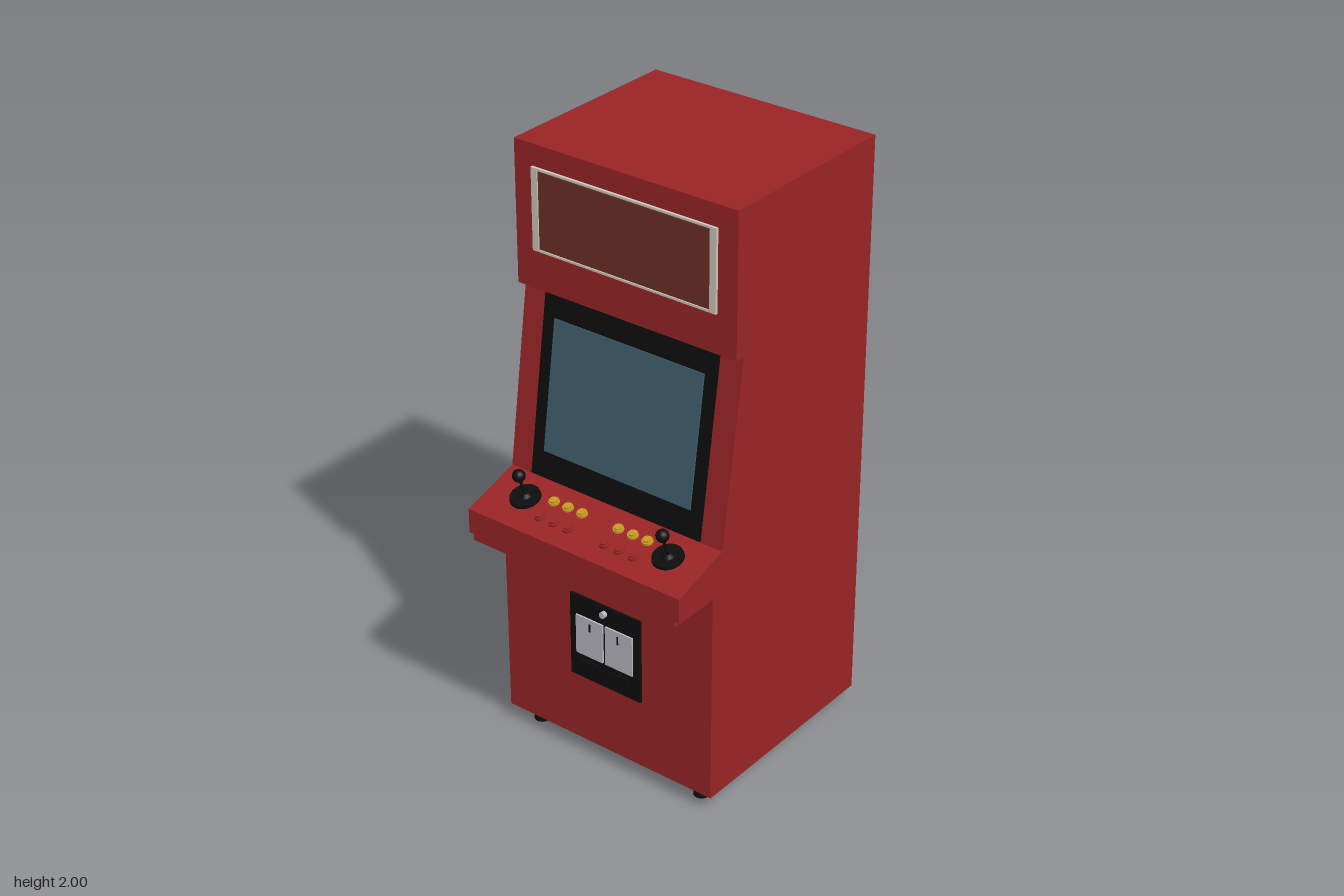
import * as THREE from 'three';

const material = (name, color) => {
  const m = new THREE.MeshStandardMaterial({ color });
  m.name = name;
  return m;
};

export function createModel() {
  const red = material('cabinet red', 0x992426);
  const black = material('black', 0x0d0d0d);
  const glass = material('screen blue', 0x405d6a);
  const brown = material('sign brown', 0x6b3026);
  const cream = material('frame cream', 0xd0c8bc);
  const metal = material('metal grey', 0xb8b8c0);
  const yellow = material('button yellow', 0xc99a22);

  const model = new THREE.Group();
  model.name = 'arcadeCabinet';

  const add = (parent, name, geometry, mat, x = 0, y = 0, z = 0) => {
    const mesh = new THREE.Mesh(geometry, mat);
    mesh.name = name;
    mesh.position.set(x, y, z);
    parent.add(mesh);
    return mesh;
  };
  const box = (parent, name, mat, w, h, d, x, y, z) =>
    add(parent, name, new THREE.BoxGeometry(w, h, d), mat, x, y, z);
  const cyl = (parent, name, mat, r0, r1, h, x, y, z, n = 20) =>
    add(parent, name, new THREE.CylinderGeometry(r0, r1, h, n), mat, x, y, z);
  const group = (name, x, y, z, tilt) => {
    const g = new THREE.Group();
    g.name = name;
    g.position.set(x, y, z);
    g.rotation.x = tilt;
    model.add(g);
    return g;
  };

  // Cabinet: side profile (z, y) extruded across the width
  const profile = [
    [-0.46, 0.055], [0.3, 0.055], [0.3, 0.785], [0.46, 0.785], [0.46, 0.868],
    [0.255, 0.93], [0.165, 1.535], [0.2, 1.535], [0.2, 2], [-0.46, 2],
  ];
  const shape = new THREE.Shape(profile.map(([z, y]) => new THREE.Vector2(z, y)));
  const body = new THREE.ExtrudeGeometry(shape, { depth: 0.81, bevelEnabled: false });
  body.translate(0, 0, -0.405).rotateY(-Math.PI / 2);
  add(model, 'cabinet', body, red);
  box(model, 'panelUnderside', red, 0.775, 0.022, 0.162, 0, 0.775, 0.379);

  // Lit sign with cream frame
  box(model, 'sign', brown, 0.64, 0.26, 0.006, 0, 1.797, 0.202);
  for (const s of [-1, 1]) {
    box(model, 'signFrameSide', cream, 0.023, 0.266, 0.01, s * 0.325, 1.797, 0.204);
    box(model, 'signFrameRail', cream, 0.672, 0.007, 0.01, 0, 1.797 + s * 0.1295, 0.204);
  }

  // Screen and bezel lying on the sloped front
  const slope = Math.atan2(0.09, 0.605);
  const display = group('display', 0, 1.2325, 0.21, -slope);
  box(display, 'bezel', black, 0.65, 0.608, 0.004, 0, 0, 0.001);
  box(display, 'screen', glass, 0.56, 0.43, 0.005, 0, 0, 0.005);

  // Control panel, local z running down the slope
  const tilt = Math.atan2(0.062, 0.205);
  const panel = group('controls', 0, 0.93, 0.255, tilt);
  const along = (z) => (z - 0.255) / Math.cos(tilt);

  for (const s of [-1, 1]) {
    const x = s * 0.275;
    const z = along(0.345);
    cyl(panel, 'joystickBase', black, 0.048, 0.05, 0.01, x, 0.005, z, 32);
    cyl(panel, 'joystickCollar', black, 0.012, 0.022, 0.012, x, 0.015, z);
    cyl(panel, 'joystickShaft', black, 0.005, 0.005, 0.09, x, 0.05, z, 12);
    add(panel, 'joystickBall', new THREE.SphereGeometry(0.021, 20, 14), black, x, 0.093, z);

    for (const bx of [0.07, 0.125, 0.18]) {
      for (const [bz, mat] of [[0.322, yellow], [0.388, red]]) {
        cyl(panel, 'buttonRim', mat, 0.017, 0.018, 0.008, s * bx, 0.004, along(bz));
        cyl(panel, 'buttonCap', mat, 0.012, 0.013, 0.008, s * bx, 0.01, along(bz));
      }
    }
  }

  // Coin door
  box(model, 'coinDoor', black, 0.275, 0.298, 0.01, 0, 0.449, 0.304);
  for (const s of [-1, 1]) {
    box(model, 'coinPlate', metal, 0.106, 0.14, 0.008, s * 0.058, 0.46, 0.311);
    box(model, 'coinSlot', black, 0.006, 0.028, 0.004, s * 0.055, 0.5, 0.315);
    box(model, 'coinReturn', black, 0.07, 0.03, 0.01, s * 0.058, 0.355, 0.312);
  }
  cyl(model, 'lock', metal, 0.011, 0.011, 0.016, 0, 0.573, 0.315).rotation.x = Math.PI / 2;

  // Levelling feet
  for (const x of [-0.325, 0.325]) {
    for (const z of [-0.4, 0.24]) {
      cyl(model, 'footPad', black, 0.024, 0.026, 0.02, x, 0.01, z);
      cyl(model, 'footStem', metal, 0.008, 0.008, 0.04, x, 0.038, z, 12);
    }
  }

  return model;
}
